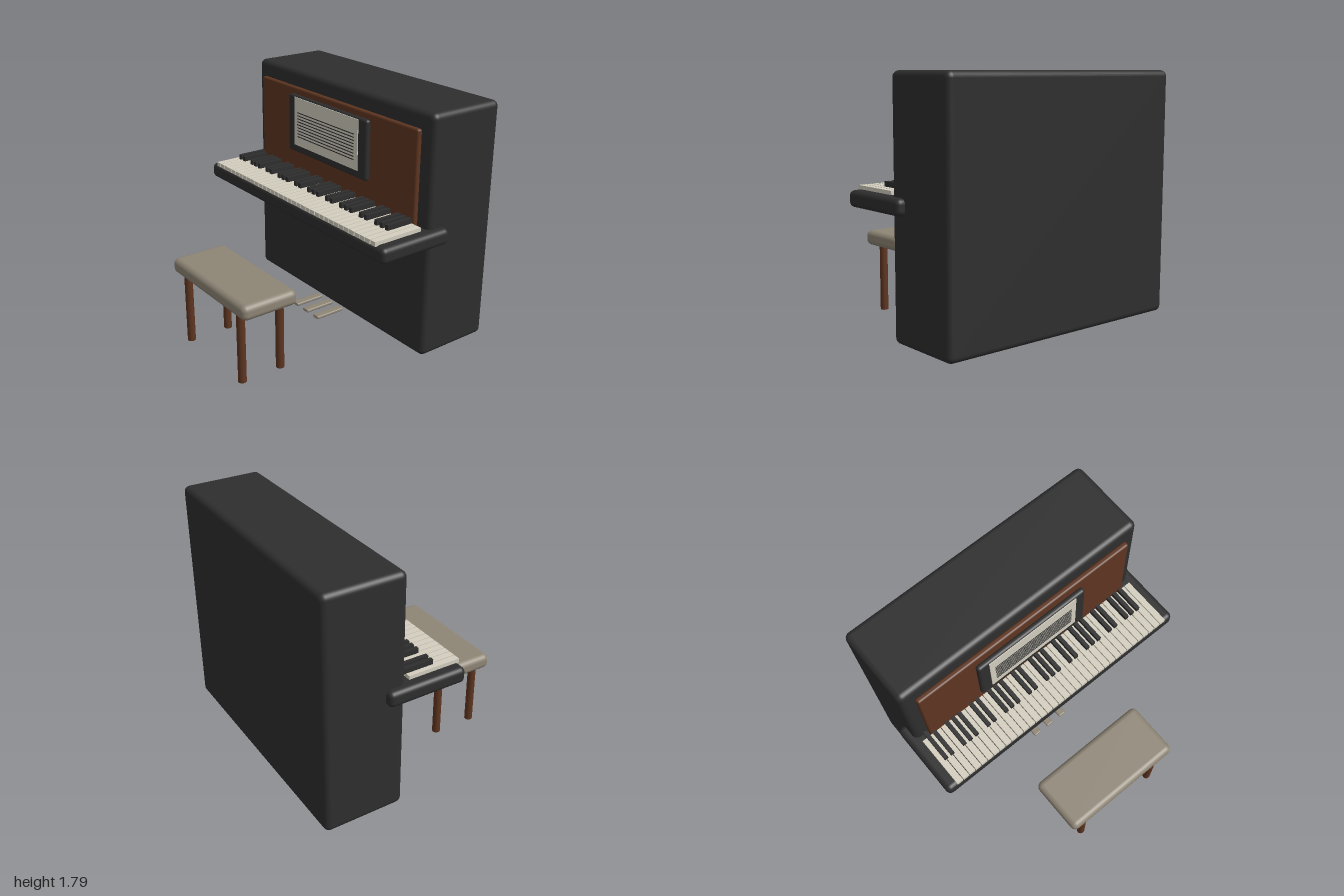
import * as THREE from 'three';
import { RoundedBoxGeometry } from 'three/addons/geometries/RoundedBoxGeometry.js';

const material = (name, color) => {
  const m = new THREE.MeshStandardMaterial({ color });
  m.name = name;
  return m;
};

export function createModel() {
  const black = material('black lacquer', 0x2e2e2e);
  const wood = material('brown wood', 0x5e3520);
  const ivory = material('ivory', 0xd3cebf);
  const fabric = material('taupe', 0x8e8575);

  const model = new THREE.Group();
  model.name = 'pianoWithBench';

  const group = (name) => {
    const g = new THREE.Group();
    g.name = name;
    model.add(g);
    return g;
  };

  // Box given by its [min, max] extents on each axis, with optional rounded edges
  const box = (parent, name, mat, [x0, x1], [y0, y1], [z0, z1], radius = 0) => {
    const size = [x1 - x0, y1 - y0, z1 - z0];
    const geometry = radius
      ? new RoundedBoxGeometry(...size, 4, radius)
      : new THREE.BoxGeometry(...size);
    const mesh = new THREE.Mesh(geometry, mat);
    mesh.name = name;
    mesh.position.set((x0 + x1) / 2, (y0 + y1) / 2, (z0 + z1) / 2);
    parent.add(mesh);
    return mesh;
  };

  // Case, front panel and key bed
  const cabinet = group('cabinet');
  box(cabinet, 'case', black, [-0.947, 0.947], [0.103, 1.79], [-0.83, -0.257], 0.042);
  box(cabinet, 'frontPanel', wood, [-0.85, 0.85], [0.98, 1.68], [-0.257, -0.215], 0.016);
  box(cabinet, 'keyBed', black, [-1, 1], [0.92, 1.03], [-0.4, 0.165], 0.036);

  // Keyboard: 36 white keys, black keys in groups of two and three
  const keyboard = group('keyboard');
  const keyCount = 36;
  const left = -0.923;
  const pitch = -2 * left / keyCount;
  for (let i = 0; i < keyCount; i++) {
    const x = left + i * pitch;
    box(keyboard, 'whiteKey', ivory, [x + 0.003, x + pitch - 0.003], [1.025, 1.056], [-0.215, 0.163]);
    if ([1, 2, 4, 5, 6].includes(i % 7)) {
      box(keyboard, 'blackKey', black, [x - 0.014, x + 0.014], [1.054, 1.091], [-0.25, -0.013]);
    }
  }

  // Music desk with a ruled sheet
  const desk = group('musicDesk');
  box(desk, 'deskBoard', black, [-0.434, 0.434], [1.228, 1.648], [-0.202, -0.158], 0.02);
  box(desk, 'sheet', ivory, [-0.353, 0.353], [1.285, 1.637], [-0.159, -0.153]);
  for (let i = 0; i < 9; i++) {
    const y = 1.53 - i * 0.022;
    box(desk, 'staffLine', black, [-0.315, 0.315], [y - 0.003, y + 0.003], [-0.153, -0.15]);
  }

  // Pedals
  const pedals = group('pedals');
  for (const x of [-0.123, 0, 0.123]) {
    box(pedals, 'pedal', fabric, [x - 0.03, x + 0.03], [0.123, 0.147], [-0.222, 0.014], 0.01);
  }

  // Bench with a padded seat on four round legs
  const bench = group('bench');
  box(bench, 'seat', fabric, [-0.462, 0.462], [0.505, 0.615], [0.407, 0.83], 0.042);
  const legGeometry = new THREE.CylinderGeometry(0.029, 0.029, 0.52, 20);
  for (const x of [-0.336, 0.336]) {
    for (const z of [0.473, 0.777]) {
      const leg = new THREE.Mesh(legGeometry, wood);
      leg.name = 'benchLeg';
      leg.position.set(x, 0.26, z);
      bench.add(leg);
    }
  }

  return model;
}
